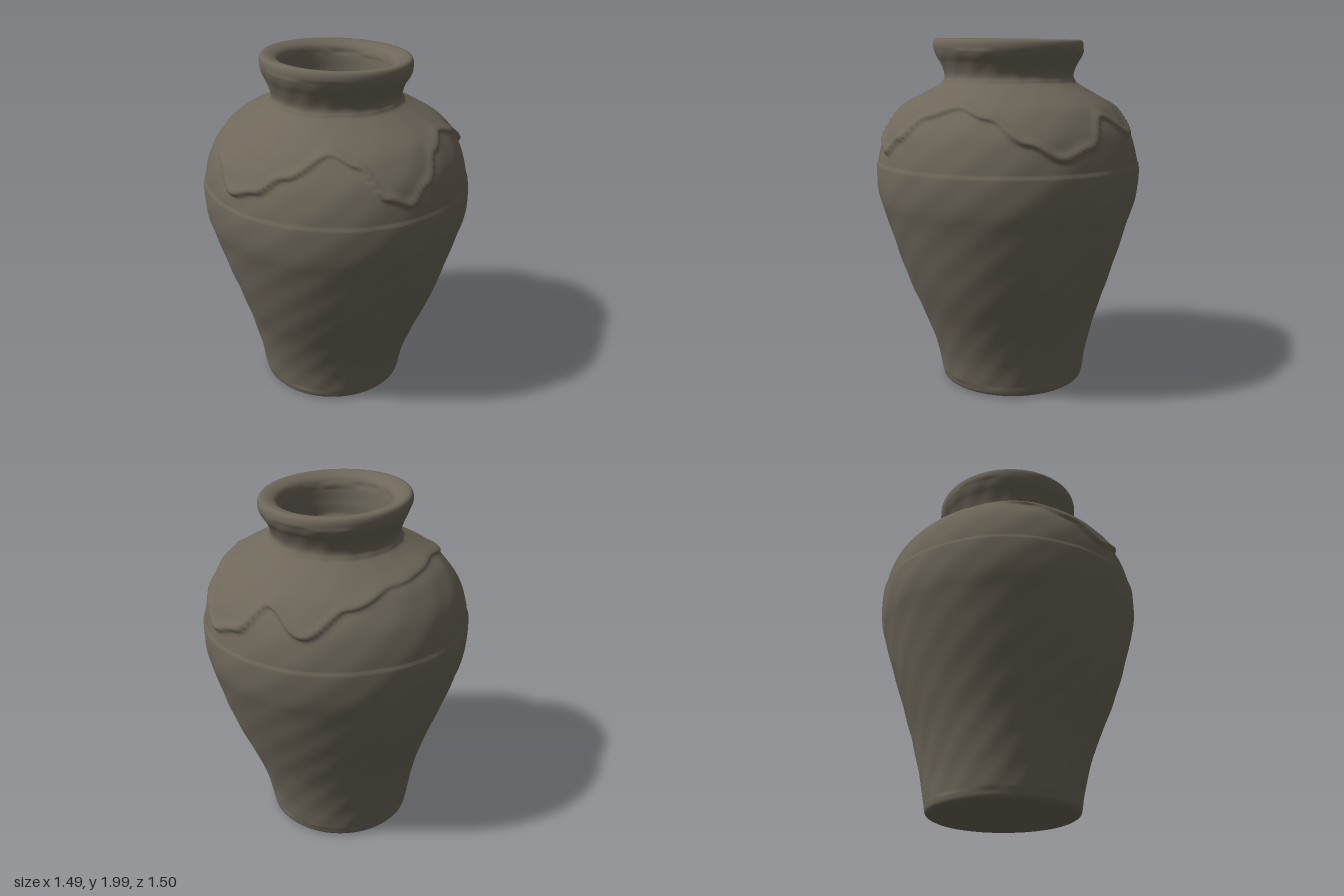
import * as THREE from 'three';
import { mergeVertices } from 'three/addons/utils/BufferGeometryUtils.js';

const { smoothstep, lerp } = THREE.MathUtils;

// Outer and inner profile: radius, height
const PROFILE = [
  [0.392, 0], [0.412, 0.012], [0.421, 0.04], [0.45, 0.2], [0.507, 0.4], [0.58, 0.6], [0.648, 0.8],
  [0.707, 1.0], [0.735, 1.1], [0.746, 1.2], [0.743, 1.3], [0.722, 1.4], [0.68, 1.5], [0.6, 1.6],
  [0.53, 1.65], [0.435, 1.705], [0.372, 1.745], [0.354, 1.78], [0.375, 1.85], [0.397, 1.9],
  [0.41, 1.95], [0.407, 1.985], [0.39, 2.0], [0.345, 1.992], [0.31, 1.965], [0.298, 1.9],
  [0.292, 1.82], [0.28, 1.765], [0.2, 1.755], [0.1, 1.755], [0, 1.755],
];

// Wavy lower edge of the glaze: angle from +x towards +z in degrees, height
const GLAZE_EDGE = [
  [-180, 1.66], [-135, 1.64], [-110, 1.58], [-92, 1.46], [-74, 1.57], [-61, 1.42], [-47, 1.37],
  [-33, 1.45], [-16, 1.57], [0, 1.62], [16, 1.57], [28, 1.45], [37, 1.37], [47, 1.42],
  [58, 1.57], [70, 1.62], [90, 1.51], [102, 1.42], [114, 1.38], [128, 1.5], [146, 1.6], [180, 1.66],
];

function glazeHeight(angle) {
  const deg = THREE.MathUtils.radToDeg(angle);
  let i = 0;
  while (i < GLAZE_EDGE.length - 2 && GLAZE_EDGE[i + 1][0] < deg) i++;
  const [a0, h0] = GLAZE_EDGE[i], [a1, h1] = GLAZE_EDGE[i + 1];
  return lerp(h0, h1, smoothstep(deg, a0, a1));
}

// Hand-made unevenness: leaning centre, glaze layer, tilted rim and lumpy filling
function warp(geometry) {
  const pos = geometry.attributes.position;
  for (let i = 0; i < pos.count; i++) {
    const x = pos.getX(i), y = pos.getY(i), z = pos.getZ(i);
    const angle = Math.atan2(z, x);
    let r = Math.hypot(x, z), h = y;
    const inside = y > 1.74 && r < 0.3;

    if (y > 1.3 && y < 1.75) {
      const d = y - glazeHeight(angle);
      const layer = smoothstep(d, -0.012, 0.012) * (1 - smoothstep(y, 1.64, 1.74));
      r += 0.012 * layer + 0.014 * Math.exp(-(((d - 0.018) / 0.022) ** 2)) - 0.006;
    }
    if (y > 0.05 && y < 1.95 && !inside) {
      r += 0.003 * Math.sin(3 * angle + 4 * y) + 0.002 * Math.sin(7 * angle - 9 * y)
        + 0.0012 * Math.sin(17 * angle + 31 * y);
    }
    if (inside && y < 1.8) {
      h += (0.022 * Math.cos(2 * angle + 1) + 0.014 * Math.cos(5 * angle)) * smoothstep(r, 0, 0.2)
        + 0.02 * Math.cos(r * 14);
      h -= 0.05 * Math.exp(-((x ** 2 + (z + 0.24) ** 2) / 0.004));
      h -= 0.04 * Math.exp(-(((x - 0.24) ** 2 + (z - 0.05) ** 2) / 0.004));
    }

    const lean = 1 - smoothstep(y, 0, 0.7);
    const neck = smoothstep(y, 1.6, 1.78);
    const nx = r * Math.cos(angle) - 0.033 * lean;
    const nz = r * Math.sin(angle) * (1 + 0.035 * neck) - 0.012 * lean;
    h -= ((nx + 0.4) * 0.026 + (0.4 - nz) * 0.024) * smoothstep(y, 1.8, 1.97);
    pos.setXYZ(i, nx, h, nz);
  }
}

// Lathe with a welded seam so that it shades smoothly all round
function turned(points) {
  let geometry = new THREE.LatheGeometry(points, 200);
  geometry.deleteAttribute('uv');
  geometry.deleteAttribute('normal');
  geometry = mergeVertices(geometry, 1e-5);
  warp(geometry);
  geometry.computeVertexNormals();
  return geometry;
}

export function createModel() {
  const group = new THREE.Group();
  group.name = 'jar';
  const clay = new THREE.MeshStandardMaterial({ color: 0x6e675a });
  clay.name = 'brown clay';

  // Body, shoulder, neck, rim and inner filling
  const curve = new THREE.SplineCurve(PROFILE.map(([r, y]) => new THREE.Vector2(r, y)));
  const points = curve.getSpacedPoints(280);
  points.forEach((p) => { p.x = Math.max(p.x, 0); p.y = Math.max(p.y, 0); });
  const body = new THREE.Mesh(turned(points), clay);
  body.name = 'jarBody';

  // Flat underside
  const base = new THREE.Mesh(turned([new THREE.Vector2(0, 0), new THREE.Vector2(0.392, 0)]), clay);
  base.name = 'base';

  group.add(body, base);
  return group;
}
